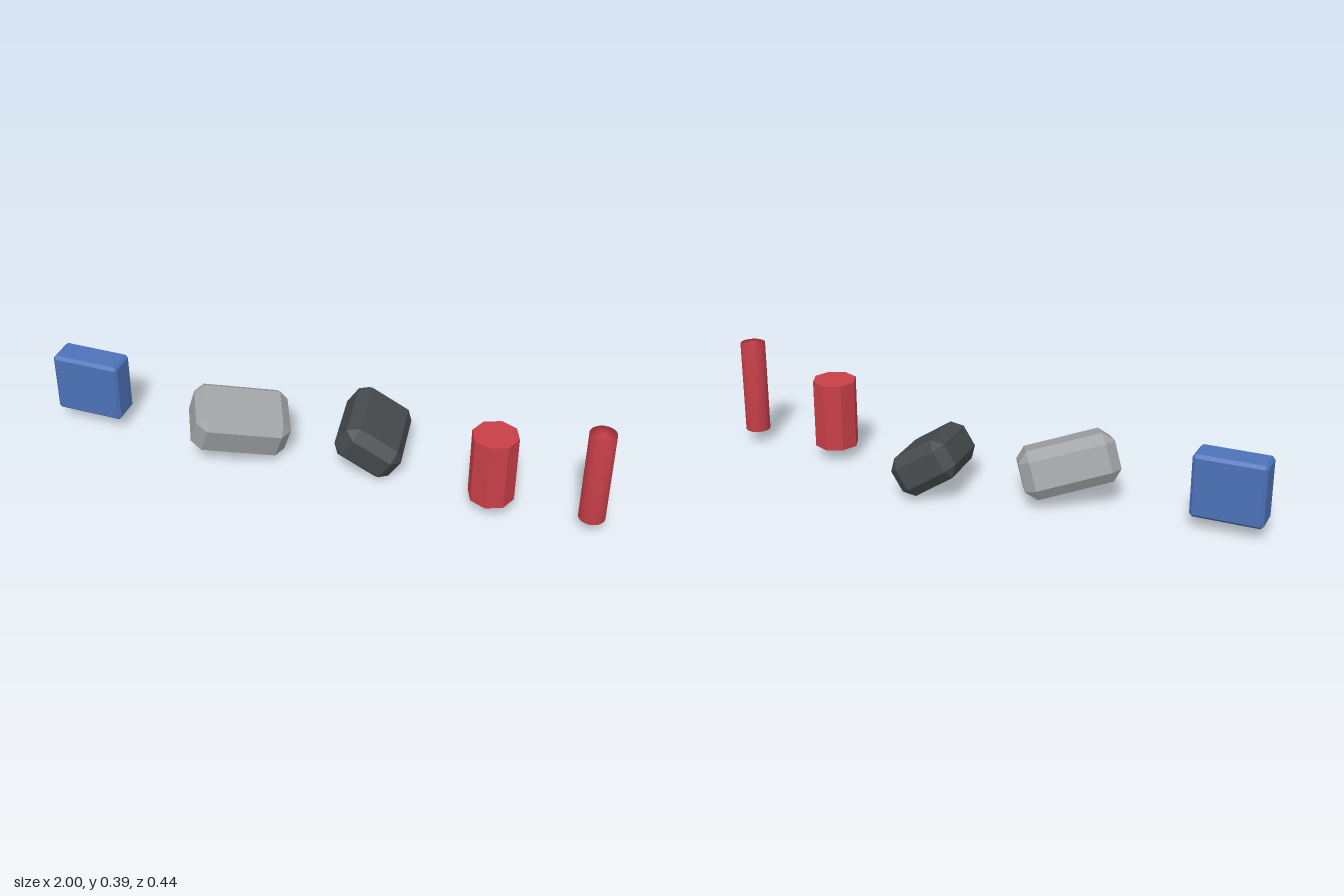
import * as THREE from 'three';
import { mergeVertices } from 'three/addons/utils/BufferGeometryUtils.js';
import { ConvexGeometry } from 'three/addons/geometries/ConvexGeometry.js';

const material = (name, color, flatShading = false) => {
  const m = new THREE.MeshStandardMaterial({ color, flatShading });
  m.name = name;
  return m;
};

// Box with every edge cut back by t; a, b, c are half sizes
function chamferedBox(a, b, c, t) {
  const points = [];
  for (const x of [-1, 1]) for (const y of [-1, 1]) for (const z of [-1, 1]) {
    points.push(
      new THREE.Vector3(x * a, y * (b - t), z * (c - t)),
      new THREE.Vector3(x * (a - t), y * b, z * (c - t)),
      new THREE.Vector3(x * (a - t), y * (b - t), z * c));
  }
  return new ConvexGeometry(points);
}

export function createModel() {
  const model = new THREE.Group();
  model.name = 'propSet';
  const blue = material('blue', 0x4c72b8);
  const red = material('red', 0xc83f48);
  const lightGrey = material('lightGrey', 0xa0a2a5);
  const darkGrey = material('darkGrey', 0x45494b);

  const add = (name, geometry, mat, x, y, z) => {
    const mesh = new THREE.Mesh(geometry, mat);
    mesh.name = name;
    mesh.position.set(x, y, z);
    model.add(mesh);
    return mesh;
  };

  // Turn a mesh so its x and y axes follow the given directions
  const orient = (mesh, xAxis, yAxis) => {
    const u = new THREE.Vector3(...xAxis).normalize();
    const w = u.clone().cross(new THREE.Vector3(...yAxis)).normalize();
    const v = w.clone().cross(u);
    mesh.quaternion.setFromRotationMatrix(new THREE.Matrix4().makeBasis(u, v, w));
  };

  // Upright block
  add('block', chamferedBox(0.125, 0.1125, 0.055, 0.011), blue, -0.875, 0.1625, 0.045);

  // Two tilted stones
  orient(add('lightStone', chamferedBox(0.168, 0.086, 0.108, 0.036), lightGrey, -0.3025, 0.135, 0.05),
    [0.849, -0.223, -0.483], [0.324, 0.935, 0.139]);
  orient(add('darkStone', chamferedBox(0.147, 0.112, 0.075, 0.035), darkGrey, 0.155, 0.117, -0.065),
    [0.134, -0.09, 0.987], [0.83, -0.535, -0.161]);

  // Eight-sided drum
  const drum = new THREE.CylinderGeometry(0.08, 0.08, 0.25, 8).toNonIndexed();
  drum.computeVertexNormals();
  add('drum', drum, red, 0.61, 0.175, 0.05);

  // Slim rod, shaded smoothly over its rims
  let rod = new THREE.CylinderGeometry(0.045, 0.045, 0.34, 32);
  rod.deleteAttribute('normal');
  rod.deleteAttribute('uv');
  rod = mergeVertices(rod);
  rod.computeVertexNormals();
  add('rod', rod, red, 0.953, 0.22, 0.05);

  return model;
}
